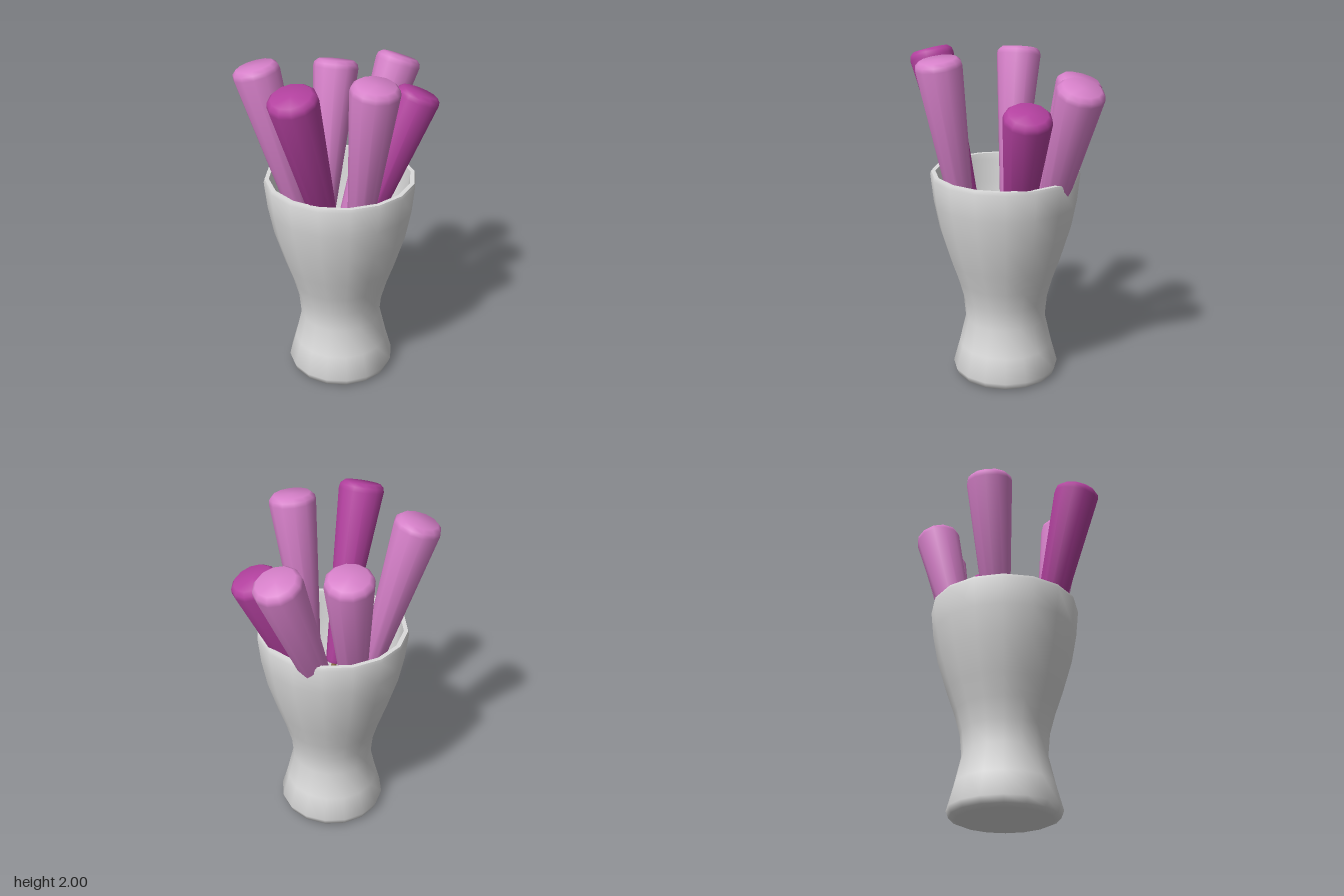
import * as THREE from 'three';
import { toCreasedNormals } from 'three/addons/utils/BufferGeometryUtils.js';

const paint = (name, color) => {
  const m = new THREE.MeshStandardMaterial({ color });
  m.name = name;
  return m;
};

// Spins a profile of [radius, height] pairs, keeping only sharp edges creased
function turned(profile, sides, crease) {
  const points = profile.map(([r, y]) => new THREE.Vector2(r, y));
  return toCreasedNormals(new THREE.LatheGeometry(points, sides), crease);
}

export function createModel() {
  const model = new THREE.Group();
  model.name = 'vaseOfFlowers';

  const white = paint('vase white', 0xdcdcdc);
  const pink = paint('light pink', 0xd680c9);
  const magenta = paint('deep magenta', 0xb3419f);
  const brown = paint('stem brown', 0x8c6b41);

  // Hollow vase: outside from the foot up, over the rim, then down the inside
  const vase = new THREE.Mesh(turned([
    [0, 0], [0.275, 0], [0.31, 0.015], [0.325, 0.055], [0.285, 0.2], [0.245, 0.37],
    [0.257, 0.5], [0.29, 0.62], [0.335, 0.75], [0.395, 0.95], [0.427, 1.12],
    [0.443, 1.28], [0.437, 1.3],
    [0.412, 1.3], [0.405, 1.26], [0.393, 1.12], [0.36, 0.95], [0.3, 0.75],
    [0.255, 0.62], [0.222, 0.5], [0.21, 0.37], [0.25, 0.2], [0.285, 0.06], [0, 0.04],
  ], 16, 0.95), white);
  vase.name = 'vase';
  vase.position.set(-0.045, 0, -0.01);
  model.add(vase);

  // Each flower: centre of its top, and the point where the bloom joins the stem
  const flowers = [
    { top: [-0.44, 1.95, -0.265], base: [-0.215, 0.88, -0.105], color: pink },
    { top: [0.145, 1.85, -0.395], base: [-0.06, 0.79, -0.215], color: pink },
    { top: [0.485, 1.87, -0.23], base: [0.09, 0.85, -0.19], color: pink },
    { top: [0.44, 1.745, 0.06], base: [0.05, 0.74, -0.025], color: magenta },
    { top: [-0.055, 1.975, 0.39], base: [-0.07, 0.89, 0.225], color: pink },
    { top: [-0.49, 1.965, 0.29], base: [-0.175, 0.91, 0.14], color: magenta },
  ];
  const up = new THREE.Vector3(0, 1, 0);

  flowers.forEach(({ top, base, color }, i) => {
    const join = new THREE.Vector3(...base);
    const axis = new THREE.Vector3(...top).sub(join);
    const length = axis.length();
    axis.normalize();

    const flower = new THREE.Group();
    flower.name = `flower${i + 1}`;
    flower.position.copy(join);
    flower.quaternion.setFromUnitVectors(up, axis);

    // Tapered bloom with a bevelled top
    const bloom = new THREE.Mesh(turned([
      [0, 0], [0.045, 0], [0.055, 0.02], [0.135, length - 0.045],
      [0.13, length - 0.02], [0.108, length], [0, length],
    ], 12, 0.9), color);
    bloom.name = 'bloom';

    // Stem runs on along the same line to the vase floor
    const stemLength = (join.y - 0.06) / axis.y;
    const stem = new THREE.Mesh(
      new THREE.CylinderGeometry(0.016, 0.016, stemLength + 0.05, 8), brown);
    stem.name = 'stem';
    stem.position.y = 0.025 - stemLength / 2;

    flower.add(bloom, stem);
    model.add(flower);
  });

  return model;
}
